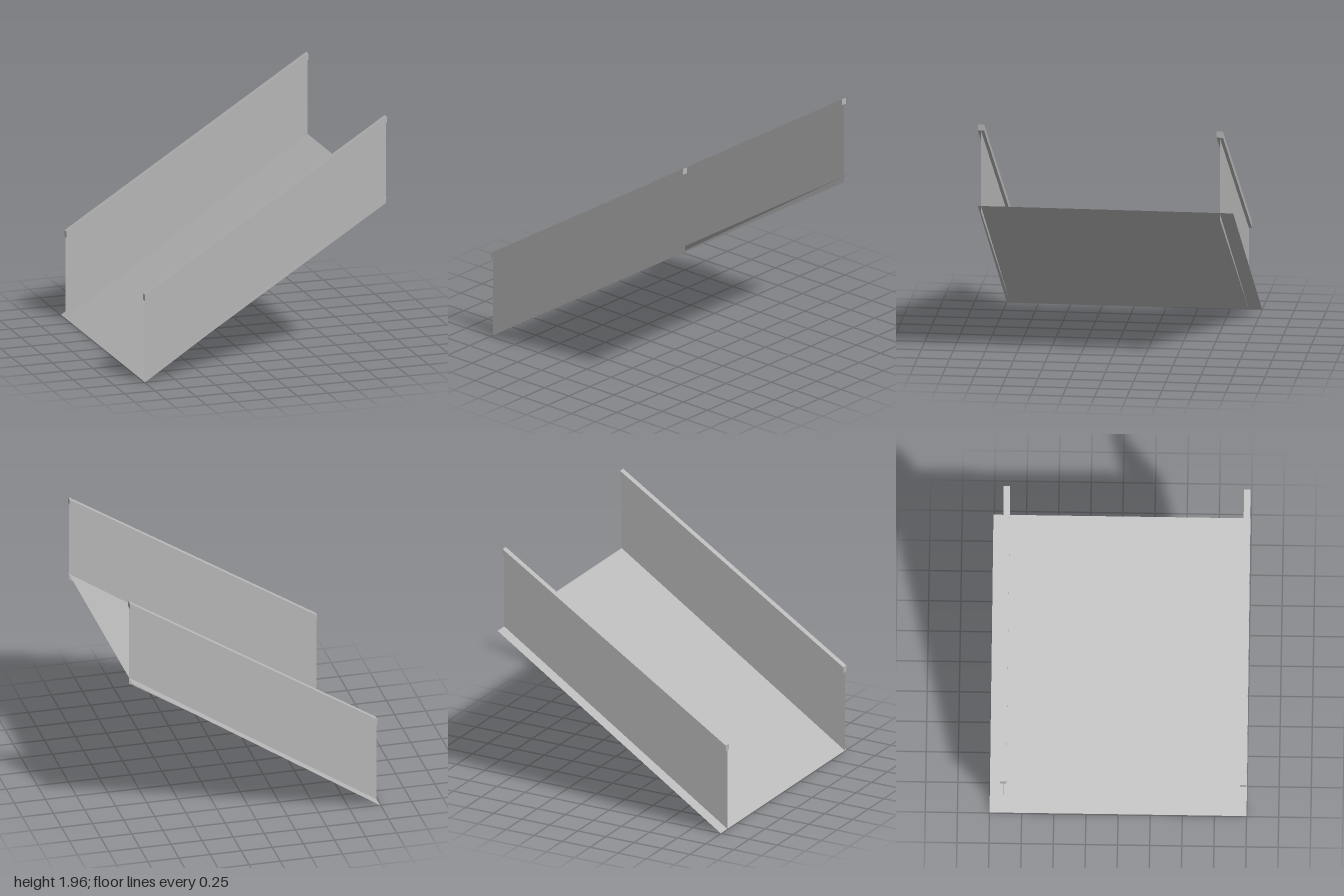
import * as THREE from 'three';

const X = 0.995;      // half length
const RISE = 1.257;   // climb of the side walls over the full length
const RAIL_LOW = 0.657, RAIL = 0.05;

// Sheared box following the slope: y0..y1 are heights at the low end
function slopedBox(y0, y1, depth, material) {
  const geo = new THREE.BoxGeometry(2 * X, y1 - y0, depth);
  geo.translate(0, (y0 + y1) / 2, 0);
  const p = geo.attributes.position;
  for (let i = 0; i < p.count; i++) {
    p.setY(i, p.getY(i) + RISE * (p.getX(i) + X) / (2 * X));
  }
  geo.computeVertexNormals();
  return new THREE.Mesh(geo, material);
}

// Flat sheet through four corners
function sheet(corners, material) {
  const geo = new THREE.BufferGeometry();
  geo.setAttribute('position', new THREE.Float32BufferAttribute(corners.flat(), 3));
  geo.setIndex([0, 1, 2, 0, 2, 3]);
  geo.computeVertexNormals();
  return new THREE.Mesh(geo, material);
}

export function createModel() {
  const model = new THREE.Group();
  model.name = 'ramp';
  const grey = new THREE.MeshStandardMaterial({ color: 0xb8b8b8, side: THREE.DoubleSide });
  grey.name = 'grey';

  // Sloping floor, slightly steeper than the walls
  const floor = sheet([[-X, 0, 1], [X, 1.307, 1], [X, 1.307, -1], [-X, 0, -1]], grey);
  floor.name = 'floor';
  model.add(floor);

  // Thin side walls, each capped by a square handrail
  for (const [side, z] of [['front', 0.975], ['back', -0.895]]) {
    const wall = sheet([
      [-X, 0, z], [X, RISE, z], [X, RISE + RAIL_LOW, z], [-X, RAIL_LOW, z],
    ], grey);
    wall.name = side + 'Wall';
    const rail = slopedBox(RAIL_LOW, RAIL_LOW + RAIL, 0.05, grey);
    rail.position.z = z;
    rail.name = side + 'Handrail';
    model.add(wall, rail);
  }
  return model;
}
